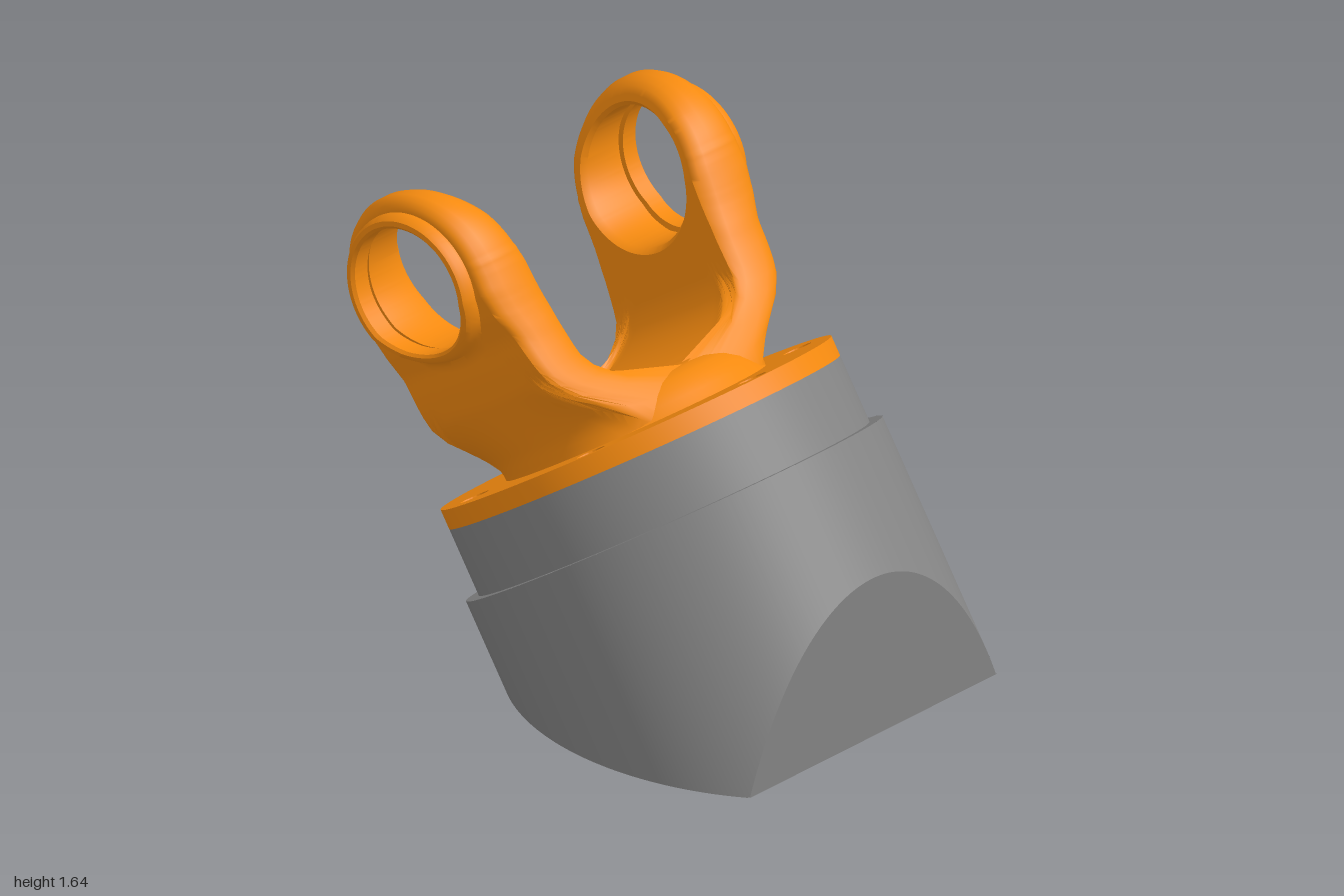
import * as THREE from 'three';
import { toCreasedNormals } from 'three/addons/utils/BufferGeometryUtils.js';

const V = (x, y, z) => new THREE.Vector3(x, y, z);
const orange = new THREE.MeshStandardMaterial({ color: 0xf58a0f });
const grey = new THREE.MeshStandardMaterial({ color: 0x848484 });
const greyOpen = new THREE.MeshStandardMaterial({ color: 0x848484, side: THREE.DoubleSide });

// Joint frame: p = pin axis, n = tilted shaft axis, q = uphill across the flange
const n = V(-0.47, 0.844, -0.262).normalize();
const p = V(-n.z, 0, n.x).negate().normalize();
if (p.x < 0) p.negate();
const q = p.clone().cross(n);
const centre = V(-0.135, 0.77, -0.052);
const STEP = 0.29, PIN = 0.675;

function mesh(name, geometry, material) {
  const m = new THREE.Mesh(geometry, material);
  m.name = name;
  return m;
}

// Piecewise linear lookup in [[x, y], ...]
function lookup(table, x) {
  if (x <= table[0][0]) return table[0][1];
  for (let i = 1; i < table.length; i++) {
    const [x0, y0] = table[i - 1], [x1, y1] = table[i];
    if (x <= x1) return y0 + (y1 - y0) * (x - x0) / (x1 - x0);
  }
  return table[table.length - 1][1];
}

// Surface from rows of points, closed across the rows and optionally along them
function gridSurface(rows, closed) {
  const R = rows.length, N = rows[0].length, idx = [];
  const last = closed ? N : N - 1;
  for (let i = 0; i < R; i++) for (let j = 0; j < last; j++) {
    const i2 = (i + 1) % R, j2 = (j + 1) % N;
    const a = i * N + j, b = i * N + j2, c = i2 * N + j2, d = i2 * N + j;
    idx.push(a, b, d, b, c, d);
  }
  const g = new THREE.BufferGeometry();
  g.setAttribute('position', new THREE.Float32BufferAttribute(rows.flat().flatMap(v => v.toArray()), 3));
  g.setIndex(idx);
  return toCreasedNormals(g, 0.7);
}

// Disc with six bolt holes, from height y0 up to y1
function boltedDisc(radius, y0, y1) {
  const s = new THREE.Shape().absarc(0, 0, radius, 0, Math.PI * 2);
  for (let k = 0; k < 6; k++) {
    const t = Math.PI / 2 + k * Math.PI / 3;
    s.holes.push(new THREE.Path().absarc(0.562 * Math.cos(t), 0.562 * Math.sin(t), 0.048, 0, Math.PI * 2, true));
  }
  const g = new THREE.ExtrudeGeometry(s, { depth: y1 - y0, bevelEnabled: false, curveSegments: 48 });
  return toCreasedNormals(g.rotateX(-Math.PI / 2).translate(0, y0, 0), 0.6);
}

// Yoke arm: a ring around the pin bore whose outline is pulled down to the flange
const halfWidth = [[0, 0.36], [0.06, 0.345], [0.14, 0.325], [0.24, 0.308], [0.36, 0.298], [0.5, 0.295], [0.62, 0.3]];
const outerFace = [[0, 0.45], [0.06, 0.462], [0.14, 0.495], [0.25, 0.54], [0.34, 0.56], [0.42, 0.572],
  [0.5, 0.605], [0.58, 0.625]];
const innerSlope = [[0.32, 0.365], [0.62, 0.39], [0.8, 0.43], [0.98, 0.5]];

function innerFace(h) {
  if (h < 0.12) return 0;
  if (h > 0.32) return lookup(innerSlope, h);
  return 0.365 * Math.sqrt(1 - ((0.32 - h) / 0.2) ** 2);
}

function outlineRadius(sin, cos) {
  let r = 0.298;
  for (;; r += 0.001) {
    const b = Math.abs(r * sin), h = PIN + r * cos;
    if (h < -0.06 || h > PIN || b > lookup(halfWidth, h)) return r;
  }
}

function armGeometry() {
  // Entries: start radius, share of the way to the outline, share of thickness, raise, inset from the outline
  const prof = [[0.235, 0, 0, 0, 0], [0.22, 0, 0.1, 0, 0], [0.22, 0, 0.8, 0, 0], [0.23, 0, 0.8, 0, 0],
    [0.23, 0, 0.88, 0, 0], [0.212, 0, 0.88, 0, 0], [0.212, 0, 1, 0.035, 0], [0.222, 0, 1, 0.045, 0],
    [0.238, 0, 1, 0.043, 0], [0.247, 0, 1, 0.03, 0]];
  for (let k = 0; k <= 24; k++) prof.push([0.252, k / 24, 1, k ? 0 : 0.01, 0.042]);
  prof.push([0, 1, 0.95, 0, 0.025], [0, 1, 0.86, 0, 0.01], [0, 1, 0.7, 0, 0], [0, 1, 0.4, 0, 0],
    [0, 1, 0.2, 0, 0.008], [0, 1, 0.07, 0, 0.022]);
  for (let k = 36; k >= 0; k--) prof.push([0.245, k / 36, 0, 0, 0.042]);

  const rows = [], SEG = 160;
  for (let i = 0; i < SEG; i++) {
    const th = i / SEG * Math.PI * 2, sin = Math.sin(th), cos = Math.cos(th);
    const R = outlineRadius(sin, cos);
    rows.push(prof.map(([r0, t, s, raise, inset]) => {
      const r = r0 + t * (R - inset - r0), b = r * sin, h = PIN + r * cos;
      const low = 1 - THREE.MathUtils.smoothstep(h, 0, 0.34);
      const round = 0.85 * low * Math.min(1, Math.abs(b) / lookup(halfWidth, h));
      const aIn = innerFace(h);
      const aOut = lookup(outerFace, h) * Math.sqrt(1 - round * round);
      return V(aIn + s * (aOut - aIn) + raise, h, b);
    }));
  }
  return gridSurface(rows, true);
}

// Flat face from world points, drawn in a plane frame, with optional round holes
function planeFace(points, frame, holes = []) {
  const inv = frame.clone().invert();
  const s = new THREE.Shape(points.map(v => {
    const l = v.clone().applyMatrix4(inv);
    return new THREE.Vector2(l.x, l.y);
  }));
  holes.forEach(([x, y, r]) => s.holes.push(new THREE.Path().absarc(x, y, r, 0, Math.PI * 2, true)));
  return new THREE.ShapeGeometry(s, 32).applyMatrix4(frame);
}

function planeFrame(normal, xHint, origin) {
  const z = normal.clone().normalize(), y = z.clone().cross(xHint).normalize();
  return new THREE.Matrix4().makeBasis(y.clone().cross(z), y, z).setPosition(origin);
}

function createBase() {
  const base = new THREE.Group();
  base.name = 'base';
  const side = V(0.866, 0, 0.5), sideAt = 0.832;
  const up = V(-0.0034, 1, 0.013), floorAt = 0.011;
  const stepCentre = centre.clone().addScaledVector(n, -STEP);

  // Slanted cylinder: each line runs down the axis to the floor or the side flat
  const rows = [], flat = [], floor = [], SEG = 480;
  for (let i = 0; i < SEG; i++) {
    const t = Math.PI / 2 + (i + 0.5) / SEG * Math.PI * 2;
    const top = stepCentre.clone().addScaledVector(p, 0.703 * Math.cos(t)).addScaledVector(q, 0.703 * Math.sin(t));
    const toFloor = (top.dot(up) - floorAt) / n.dot(up);
    const toSide = (sideAt - top.dot(side)) / -n.dot(side);
    const end = top.clone().addScaledVector(n, -Math.min(toFloor, toSide));
    rows.push([end, top]);
    (toSide < toFloor ? flat : floor).push(end);
  }
  // The side flat's outline runs from one floor corner over the arch to the other
  const along = v => v.clone().sub(stepCentre).dot(p);
  flat.sort((a, b) => along(b) - along(a));
  const flatOutline = [floor[floor.length - 1], ...flat, floor[0]];
  base.add(mesh('slantedBody', gridSurface(rows, false), greyOpen));
  base.add(mesh('sideFlat', planeFace(flatOutline, planeFrame(side, V(0.5, 0, -0.866), V(0.7205, 0, 0.416))), greyOpen));

  // Underside with a centre bore and four screw holes
  const holes = [[0, 0, 0.195]];
  for (const x of [-0.35, 0.35]) for (const y of [-0.35, 0.35]) holes.push([x, y, 0.055]);
  const frame = planeFrame(up.clone().negate(), side, V(0.143, 0.0103, 0.095));
  base.add(mesh('underside', planeFace(floor, frame, holes), greyOpen));
  holes.forEach(([x, y, r], k) => {
    const depth = k ? 0.15 : 0.2;
    const bore = new THREE.CylinderGeometry(r, r, depth, 40, 1, true).rotateX(Math.PI / 2).translate(x, y, -depth / 2);
    const end = new THREE.CircleGeometry(r, 40).translate(x, y, -depth);
    base.add(mesh(k ? 'screwHole' : 'centreBore', bore.applyMatrix4(frame), greyOpen));
    base.add(mesh('holeEnd', end.applyMatrix4(frame), greyOpen));
  });
  return base;
}

export function createModel() {
  const model = new THREE.Group();
  model.name = 'universalJointYokeOnBase';
  model.add(createBase());

  // Everything on the tilted axis
  const tilted = new THREE.Group();
  tilted.name = 'tiltedAssembly';
  tilted.position.copy(centre);
  tilted.quaternion.setFromRotationMatrix(new THREE.Matrix4().makeBasis(p, n, q));
  tilted.add(mesh('stepRing', new THREE.CircleGeometry(0.703, 96).rotateX(-Math.PI / 2).translate(0, -STEP, 0), grey));
  tilted.add(mesh('upperBody', boltedDisc(0.66, -STEP, -0.065), grey));
  tilted.add(mesh('flange', boltedDisc(0.66, -0.065, 0), orange));

  // Collar under the saddle between the arms
  const collar = [[0.445, -0.01], [0.43, 0.01], [0.415, 0.035], [0.395, 0.065], [0.365, 0.095], [0.33, 0.115], [0.29, 0.123], [0, 0.123]];
  const collarGeo = new THREE.LatheGeometry(collar.map(c => new THREE.Vector2(...c)), 72);
  tilted.add(mesh('collar', collarGeo, orange));

  // Two arms, half a turn apart
  const arm = armGeometry();
  for (const turn of [0, Math.PI]) {
    const m = mesh('yokeArm', arm, orange);
    m.rotation.y = turn;
    tilted.add(m);
  }
  model.add(tilted);
  return model;
}
